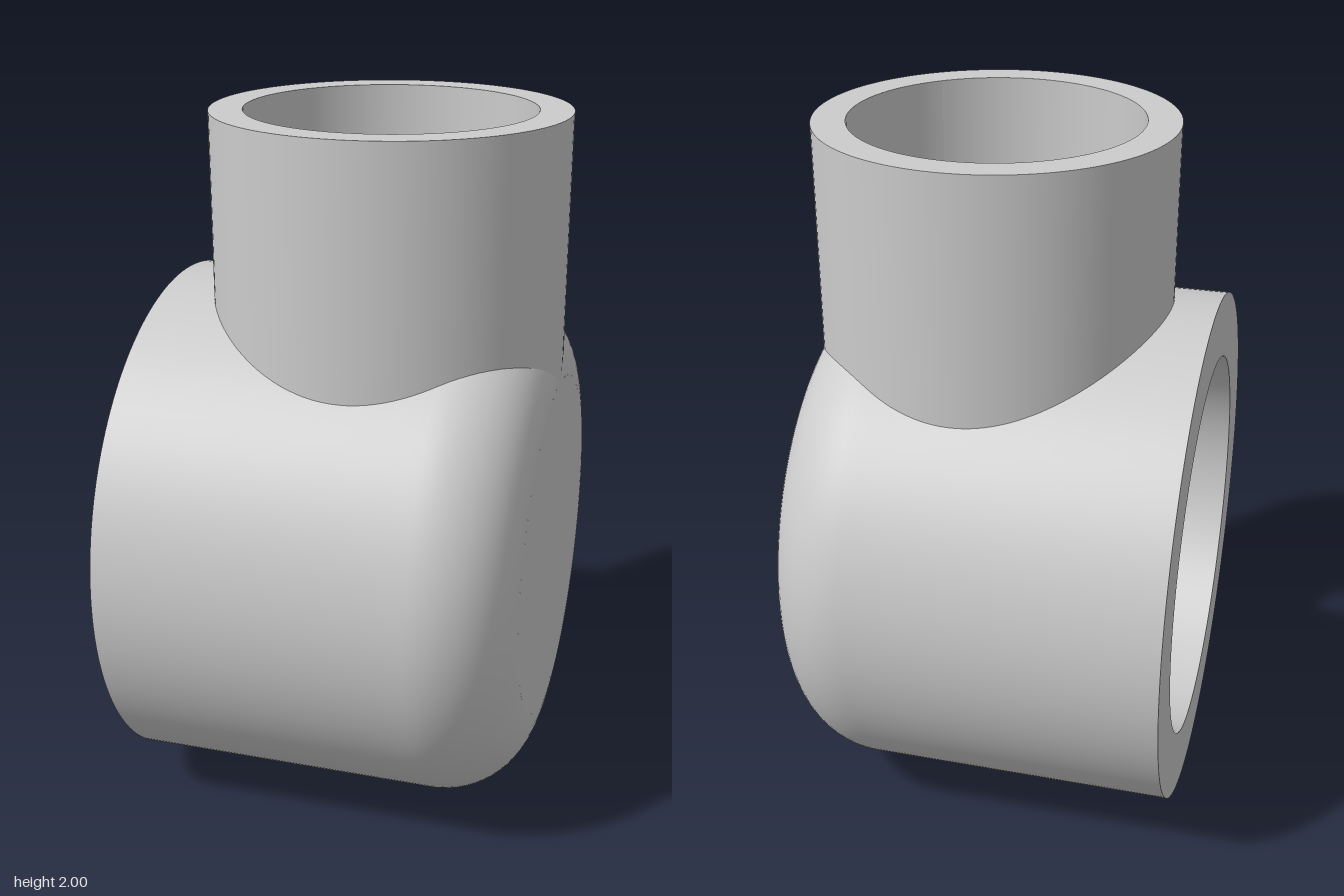
import * as THREE from 'three';

const R = 0.75, BORE = 0.5625, CY = 0.75;       // main barrel, lying along x
const X0 = -0.5625, X1 = 0.5625, WALL = 0.3125; // open end, closed end, inner end wall
const FILLET = 0.25;
const TX = 0.0625, TR = 0.5, TB = 0.406;        // upright branch pipe
const TOP = 2;

const material = new THREE.MeshStandardMaterial({ color: 0xcccccc, side: THREE.DoubleSide });

// Ruled surface between two curves, each a function of the sample value
function ruled(samples, curveA, curveB, steps = 1) {
  const pos = [], index = [];
  for (const s of samples) {
    const a = new THREE.Vector3(...curveA(s)), b = new THREE.Vector3(...curveB(s));
    for (let j = 0; j <= steps; j++) pos.push(...a.clone().lerp(b, j / steps).toArray());
  }
  const w = steps + 1;
  for (let i = 0; i < samples.length - 1; i++) {
    for (let j = 0; j < steps; j++) {
      const p = i * w + j;
      index.push(p, p + 1, p + w, p + 1, p + w + 1, p + w);
    }
  }
  const g = new THREE.BufferGeometry();
  g.setAttribute('position', new THREE.Float32BufferAttribute(pos, 3));
  g.setIndex(index);
  g.computeVertexNormals();
  return g;
}

const range = (a, b, n) => Array.from({ length: n + 1 }, (_, i) => a + (b - a) * i / n);

// Barrel radius at a given x, including the rounded closed end
function barrelRadius(x) {
  const d = Math.min(Math.max(0, x - WALL), FILLET);
  return R - FILLET + Math.sqrt(FILLET * FILLET - d * d);
}

export function createModel() {
  const group = new THREE.Group();
  const add = (name, geometry) => {
    const mesh = new THREE.Mesh(geometry, material);
    mesh.name = name;
    group.add(mesh);
    return mesh;
  };

  // Barrel skin with rounded end, opened under the pipe (the cut hides in the pipe wall)
  const profile = range(X0, WALL, 28).map(x => new THREE.Vector2(R, x));
  for (const a of range(0, Math.PI / 2, 16).slice(1)) {
    profile.push(new THREE.Vector2(R - FILLET + FILLET * Math.cos(a), WALL + FILLET * Math.sin(a)));
  }
  const skin = new THREE.LatheGeometry(profile, 144).rotateZ(-Math.PI / 2).translate(0, CY, 0);
  const p = skin.attributes.position, old = skin.index.array, kept = [];
  for (let i = 0; i < old.length; i += 3) {
    const t = [old[i], old[i + 1], old[i + 2]];
    const mean = get => t.reduce((sum, v) => sum + get(v), 0) / 3;
    const x = mean(v => p.getX(v)), y = mean(v => p.getY(v)), z = mean(v => p.getZ(v));
    if (y < CY || Math.hypot(x - TX, z) > 0.455) kept.push(...t);
  }
  skin.setIndex(kept);
  add('barrelSkin', skin);

  // Flat closed end and ring around the open end
  add('closedEnd', new THREE.CircleGeometry(R - FILLET, 96).rotateY(Math.PI / 2).translate(X1, CY, 0));
  add('openEndRim', new THREE.RingGeometry(BORE, R, 96).rotateY(-Math.PI / 2).translate(X0, CY, 0));

  // Barrel bore, cut exactly where the pipe bore enters from above
  const edge = Math.asin(TB / BORE);
  const angles = [
    ...range(-Math.PI / 2, Math.PI / 2, 64).map(f => Math.asin(TB * Math.sin(f) / BORE)),
    ...range(edge, 2 * Math.PI - edge, 80).slice(1),
  ];
  const borePoint = (x, a) => [x, CY + BORE * Math.cos(a), BORE * Math.sin(a)];
  const halfHole = a => Math.cos(a) < 0 ? 0 : Math.sqrt(Math.max(0, TB * TB - (BORE * Math.sin(a)) ** 2));
  add('barrelBoreOuterHalf', ruled(angles, a => borePoint(X0, a), a => borePoint(TX - halfHole(a), a)));
  add('barrelBoreInnerHalf', ruled(angles,
    a => borePoint(Math.min(TX + halfHole(a), WALL), a), a => borePoint(WALL, a)));

  // Inner end wall, notched by the pipe bore
  const notch = Math.sqrt(TB * TB - (WALL - TX) ** 2);
  const start = Math.acos(notch / BORE);
  const wall = new THREE.Shape();
  wall.moveTo(-notch, 0);
  wall.lineTo(notch, 0);
  wall.absarc(0, 0, BORE, start, Math.PI - start, true);
  wall.closePath();
  add('innerEndWall', new THREE.ShapeGeometry(wall, 64).rotateY(-Math.PI / 2).translate(WALL, CY, 0));

  // Pipe outside, running down into the barrel wall
  const pipePoint = (r, a, y) => [TX + r * Math.cos(a), y, r * Math.sin(a)];
  const sunk = a => {
    const [x, , z] = pipePoint(TR, a, 0);
    return CY + Math.sqrt(Math.max(0, (barrelRadius(x) - 0.08) ** 2 - z * z));
  };
  add('pipeOutside', ruled(range(0, 2 * Math.PI, 128), a => pipePoint(TR, a, sunk(a)), a => pipePoint(TR, a, TOP), 4));
  add('pipeRim', new THREE.RingGeometry(TB, TR, 128).rotateX(-Math.PI / 2).translate(TX, TOP, 0));

  // Pipe bore: one part meets the barrel bore, the other runs behind the end wall to a ledge
  const cut = Math.acos((WALL - TX) / TB);
  const meet = a => CY + Math.sqrt(BORE * BORE - (TB * Math.sin(a)) ** 2);
  add('pipeBore', ruled(range(cut, 2 * Math.PI - cut, 96), a => pipePoint(TB, a, TOP), a => pipePoint(TB, a, meet(a)), 3));
  add('pipeBoreBack', ruled(range(-cut, cut, 40), a => pipePoint(TB, a, TOP), a => pipePoint(TB, a, CY), 3));
  add('pipeLedge', ruled(range(-cut, cut, 40), a => [WALL, CY, TB * Math.sin(a)], a => pipePoint(TB, a, CY)));

  return group;
}
